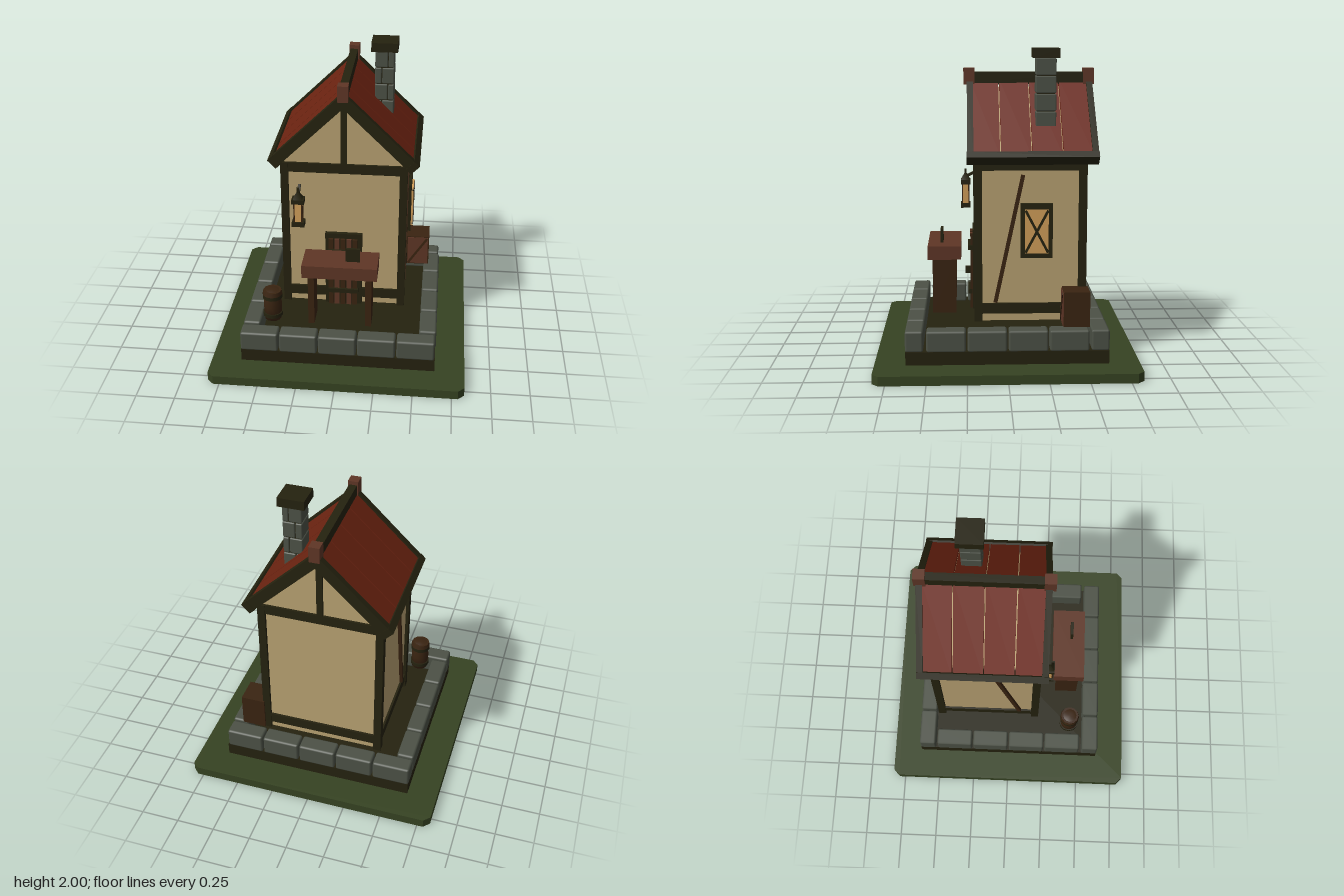
import * as THREE from 'three';
import { RoundedBoxGeometry } from 'three/addons/geometries/RoundedBoxGeometry.js';

export function createModel() {
  const root = new THREE.Group();
  const mat = (name, color) => {
    const m = new THREE.MeshStandardMaterial({ color });
    m.name = name;
    return m;
  };
  const darkWood = mat('dark timber', 0x25220f);
  const grass = mat('grass', 0x364322);
  const stone = mat('stone', 0x4c5146);
  const plaster = mat('plaster', 0xb9a272);
  const tile = mat('red roof', 0x6a2210);
  const redWood = mat('reddish wood', 0x5f3626);
  const brown = mat('brown wood', 0x3a2411);
  const amber = mat('amber glass', 0xd3a05a);

  const add = (name, geo, material, x = 0, y = 0, z = 0, parent = root) => {
    const m = new THREE.Mesh(geo, material);
    m.name = name;
    m.position.set(x, y, z);
    parent.add(m);
    return m;
  };
  // box given by its limits on each axis
  const box = (name, material, x0, x1, y0, y1, z0, z1) =>
    add(name, new THREE.BoxGeometry(x1 - x0, y1 - y0, z1 - z0), material,
      (x0 + x1) / 2, (y0 + y1) / 2, (z0 + z1) / 2);
  const block = (name, x0, x1, y0, y1, z0, z1, r = 0.014) =>
    add(name, new RoundedBoxGeometry(x1 - x0, y1 - y0, z1 - z0, 1, r), stone,
      (x0 + x1) / 2, (y0 + y1) / 2, (z0 + z1) / 2);
  const outline = pts => new THREE.Shape(pts.map(p => new THREE.Vector2(...p)));

  // ground slab with cut corners
  const g = 0.83, c = 0.79;
  const slab = new THREE.ExtrudeGeometry(
    outline([[g, -c], [g, c], [c, g], [-c, g], [-g, c], [-g, -c], [-c, -g], [c, -g]]),
    { depth: 0.06, bevelEnabled: false });
  slab.rotateX(-Math.PI / 2);
  add('ground', slab, grass);
  box('platform', darkWood, -0.635, 0.635, 0.06, 0.145, -0.635, 0.635);

  // ring of kerb stones
  for (const s of [-1, 1]) {
    const a = s > 0 ? 0.525 : -0.638, b = a + 0.113;
    for (let i = 0; i < 5; i++) {
      const x = -0.638 + i * 0.2555;
      block('kerbStone', x, x + 0.247, 0.14, 0.275, a, b);
    }
    for (let i = 0; i < 4; i++) {
      const z = -0.511 + i * 0.2565;
      block('kerbStone', a, b, 0.14, 0.275, z, z + 0.247);
    }
  }

  // plaster walls with both gables
  const walls = new THREE.ExtrudeGeometry(
    outline([[-0.39, 0.272], [0.39, 0.272], [0.39, 1.36], [0, 1.745], [-0.39, 1.36]]),
    { depth: 0.675, bevelEnabled: false });
  add('walls', walls, plaster, 0, 0, -0.49);

  // timber frame
  for (const s of [-1, 1]) {
    const x0 = s > 0 ? 0.36 : -0.41;
    box('cornerPost', darkWood, x0, x0 + 0.05, 0.27, 1.31, 0.153, 0.205);
    box('cornerPost', darkWood, x0, x0 + 0.05, 0.27, 1.31, -0.51, -0.458);
    const sx = s > 0 ? 0.37 : -0.404;
    box('sideBeam', darkWood, sx, sx + 0.034, 0.32, 0.388, -0.46, 0.155);
    box('sideBeam', darkWood, sx, sx + 0.034, 1.245, 1.31, -0.46, 0.155);
    const z0 = s > 0 ? 0.165 : -0.505;
    box('crossBeam', darkWood, -0.37, 0.37, 0.32, 0.388, z0, z0 + 0.035);
    box('tieBeam', darkWood, -0.41, 0.41, 1.245, 1.31, z0, z0 + 0.035);
    box('gablePost', darkWood, -0.02, 0.02, 1.3, 1.72, z0, z0 + 0.035);
    // leaning side brace
    const brace = add('sideBrace', new THREE.BoxGeometry(0.03, 0.84, 0.024), brown, s * 0.396, 0.805, -0.018);
    brace.rotation.x = -0.21;
  }

  // sloped roof pieces: u0..u1 runs down the slope, top is height above the roof line
  const angle = Math.atan2(0.46, 0.47);
  const slope = (name, material, s, u0, u1, top, thick, z0, z1) => {
    const u = (u0 + u1) / 2, n = top - thick / 2;
    const m = add(name, new THREE.BoxGeometry(u1 - u0, thick, z1 - z0), material,
      s * (u * Math.cos(angle) + n * Math.sin(angle)),
      1.795 - u * Math.sin(angle) + n * Math.cos(angle), (z0 + z1) / 2);
    m.rotation.z = -s * angle;
  };
  for (const s of [-1, 1]) {
    for (let i = 0; i < 4; i++) {
      const z = -0.545 + i * 0.195;
      slope('roofPlank', tile, s, 0, 0.64, 0, 0.03, z, z + 0.188);
    }
    slope('rafter', darkWood, s, 0, 0.66, 0.012, 0.072, 0.205, 0.245);
    slope('rafter', darkWood, s, 0, 0.66, 0.012, 0.072, -0.575, -0.535);
    slope('eaveBeam', darkWood, s, 0.618, 0.665, 0.014, 0.077, -0.577, 0.248);
  }
  box('ridgeBeam', darkWood, -0.026, 0.026, 1.76, 1.84, -0.575, 0.25);
  box('ridgeFinial', redWood, -0.034, 0.034, 1.76, 1.865, 0.195, 0.267);
  box('ridgeFinial', redWood, -0.034, 0.034, 1.76, 1.865, -0.587, -0.515);

  // chimney of stacked stones
  box('chimneyCore', darkWood, 0.175, 0.28, 1.5, 1.95, -0.31, -0.2);
  for (let i = 0; i < 4; i++) {
    const y = 1.495 + i * 0.112, split = i % 2 ? 0.25 : 0.21;
    block('chimneyStone', 0.165, split - 0.002, y, y + 0.107, -0.32, -0.19, 0.007);
    block('chimneyStone', split + 0.002, 0.29, y, y + 0.107, -0.32, -0.19, 0.007);
  }
  box('chimneyCap', darkWood, 0.14, 0.312, 1.94, 2, -0.34, -0.17);

  // plank door
  box('doorFrame', darkWood, -0.122, 0.122, 0.272, 0.81, 0.18, 0.212);
  for (let i = 0; i < 5; i++) {
    const x = -0.1 + i * 0.04;
    box('doorPlank', i % 2 ? redWood : brown, x, x + 0.032, 0.272, 0.775, 0.2, 0.228);
  }
  for (const y of [0.37, 0.67]) box('doorBatten', darkWood, -0.1, 0.1, y, y + 0.03, 0.215, 0.242);
  box('doorHandle', darkWood, 0.045, 0.07, 0.505, 0.55, 0.225, 0.26);

  // window with crossed bars
  box('windowFrame', darkWood, 0.38, 0.43, 0.69, 1.037, -0.292, -0.09);
  box('windowPane', amber, 0.425, 0.442, 0.722, 1.003, -0.265, -0.117);
  for (const s of [-1, 1]) {
    const bar = add('windowBar', new THREE.BoxGeometry(0.012, 0.305, 0.016), darkWood, 0.441, 0.8625, -0.191);
    bar.rotation.x = s * 0.485;
  }

  // lantern on a bracket
  const lx = -0.29, lz = 0.258;
  box('lanternBase', darkWood, lx - 0.041, lx + 0.041, 0.89, 0.922, lz - 0.033, lz + 0.033);
  box('lanternGlass', amber, lx - 0.024, lx + 0.024, 0.92, 1.055, lz - 0.022, lz + 0.022);
  for (const i of [-1, 1]) for (const j of [-1, 1])
    add('lanternPost', new THREE.BoxGeometry(0.008, 0.135, 0.008), brown, lx + i * 0.025, 0.987, lz + j * 0.022);
  box('lanternTop', darkWood, lx - 0.041, lx + 0.041, 1.055, 1.085, lz - 0.033, lz + 0.033);
  const cap = add('lanternCap', new THREE.ConeGeometry(0.045, 0.06, 4), darkWood, lx, 1.113, lz);
  cap.rotation.y = Math.PI / 4;
  box('lanternHook', darkWood, lx - 0.008, lx + 0.008, 1.11, 1.16, lz - 0.008, lz + 0.008);
  const arm = add('lanternBracket', new THREE.BoxGeometry(0.018, 0.018, 0.07), darkWood, lx, 1.128, 0.212);
  arm.rotation.x = 0.5;

  // table with an upright board
  box('tableTop', redWood, -0.243, 0.243, 0.638, 0.727, 0.288, 0.505);
  for (const x of [-0.207, 0.167]) box('tableLeg', brown, x, x + 0.04, 0.272, 0.64, 0.322, 0.475);
  box('tableBoard', darkWood, 0.033, 0.127, 0.725, 0.82, 0.405, 0.423);

  // barrel
  const profile = [[0, 0], [0.055, 0], [0.062, 0.1], [0.055, 0.2], [0.045, 0.215], [0, 0.215]];
  add('barrel', new THREE.LatheGeometry(profile.map(p => new THREE.Vector2(...p)), 12), brown, -0.45, 0.272, 0.425);
  for (const y of [0.31, 0.445])
    add('barrelHoop', new THREE.CylinderGeometry(0.066, 0.066, 0.026, 12), darkWood, -0.45, y, 0.425);
  add('barrelLid', new THREE.CylinderGeometry(0.06, 0.066, 0.028, 12), brown, -0.45, 0.472, 0.425);

  // crate with a boarded front
  box('crate', brown, 0.4, 0.56, 0.272, 0.497, -0.52, -0.355);
  box('crateFront', redWood, 0.408, 0.552, 0.28, 0.49, -0.356, -0.349);
  const strip = add('crateBrace', new THREE.BoxGeometry(0.016, 0.24, 0.008), brown, 0.48, 0.385, -0.348);
  strip.rotation.z = -0.58;

  return root;
}
